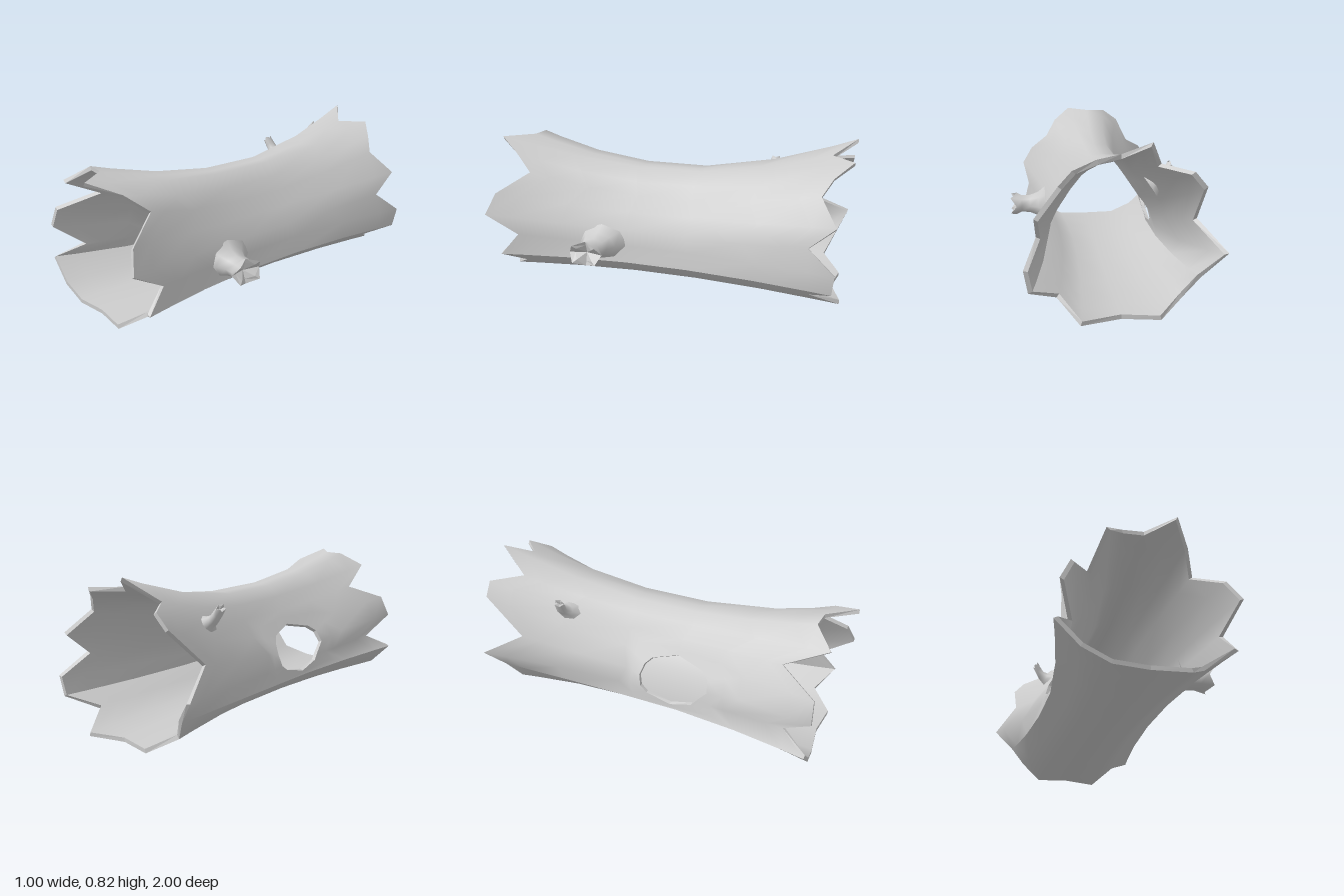
import * as THREE from 'three';
import { mergeVertices } from 'three/addons/utils/BufferGeometryUtils.js';

// Corners of the trunk section, clockwise from the top left: waist [x, y] and broken ends [x, y, z]
const waist = [
  [-0.07, 0.63], [0, 0.63], [0.06, 0.63], [0.12, 0.56], [0.17, 0.49], [0.22, 0.41], [0.28, 0.32],
  [0.295, 0.24], [0.315, 0.15], [0.22, 0.09], [0.13, 0.025], [0, 0.025], [-0.16, 0.025], [-0.25, 0.085],
  [-0.335, 0.15], [-0.325, 0.23], [-0.30, 0.32], [-0.23, 0.41], [-0.17, 0.50], [-0.12, 0.57]];
const frontEnd = [
  [-0.13, 0.755, 0.84], [-0.02, 0.755, 0.85], [0.10, 0.755, 1], [0.20, 0.69, 0.86], [0.26, 0.60, 0.75],
  [0.36, 0.49, 0.92], [0.42, 0.38, 0.96], [0.385, 0.27, 0.78], [0.41, 0.15, 0.88], [0.27, 0.07, 0.80],
  [0.17, 0, 0.91], [-0.02, 0, 0.89], [-0.20, 0, 0.91], [-0.34, 0.06, 0.92], [-0.46, 0.18, 0.92],
  [-0.37, 0.26, 0.78], [-0.44, 0.38, 0.93], [-0.39, 0.49, 0.92], [-0.27, 0.57, 0.72], [-0.23, 0.68, 0.94]];
const backEnd = [
  [-0.14, 0.825, 1], [-0.02, 0.755, 0.88], [0.10, 0.755, 1], [0.20, 0.69, 0.91], [0.26, 0.61, 0.86],
  [0.37, 0.49, 0.95], [0.36, 0.37, 0.82], [0.42, 0.26, 0.96], [0.40, 0.15, 0.95], [0.27, 0.08, 0.83],
  [0.17, 0, 0.98], [-0.02, 0, 0.92], [-0.20, 0, 0.95], [-0.32, 0.07, 0.85], [-0.39, 0.18, 0.90],
  [-0.50, 0.31, 0.96], [-0.40, 0.42, 0.75], [-0.39, 0.62, 0.97], [-0.33, 0.69, 0.98], [-0.21, 0.70, 0.83]];
const N = waist.length;
const WALL = 0.022;
const ROWS = [-1, -0.87, -0.57, -0.19, 0.19, 0.57, 0.87, 1];
const CREASES = [8, 14]; // sharp edges where the floor meets the sides

const material = new THREE.MeshStandardMaterial({ color: 0xcccccc });
const flare = (z) => Math.pow(Math.max(0, z - 0.18) / 0.82, 1.5);

// One corner line of the trunk, s from -1 (back) to 1 (front), moved inward by depth
function corner(k, s, depth) {
  const i = ((k % N) + N) % N;
  const end = (s < 0 ? backEnd : frontEnd)[i];
  const z = s * end[2];
  const f = flare(Math.abs(z)) / flare(end[2]);
  const a = waist[(i + N - 1) % N], b = waist[(i + 1) % N];
  const length = Math.hypot(b[0] - a[0], b[1] - a[1]);
  return new THREE.Vector3(
    THREE.MathUtils.lerp(waist[i][0], end[0], f) + depth * (b[1] - a[1]) / length,
    THREE.MathUtils.lerp(waist[i][1], end[1], f) - depth * (b[0] - a[0]) / length,
    z);
}

function wallPoint(u, s, depth) {
  const k = Math.floor(u);
  return corner(k, s, depth).lerp(corner(k + 1, s, depth), u - k);
}

// Mesh from quads with counter-clockwise corners
function quadMesh(name, quads, smooth) {
  const positions = [];
  for (const [a, b, c, d] of quads) for (const p of [a, b, c, a, c, d]) positions.push(p.x, p.y, p.z);
  let geometry = new THREE.BufferGeometry();
  geometry.setAttribute('position', new THREE.Float32BufferAttribute(positions, 3));
  if (smooth) geometry = mergeVertices(geometry, 1e-4);
  geometry.computeVertexNormals();
  const mesh = new THREE.Mesh(geometry, material);
  mesh.name = name;
  return mesh;
}

// Knothole: border along the wall grid and matching points round the opening, as [u, s]
const border = [
  [14, -0.19], [15, -0.19], [16, -0.19], [17, -0.19], [18, -0.19], [18, 0.19],
  [18, 0.57], [17, 0.57], [16, 0.57], [15, 0.57], [14, 0.57], [14, 0.19]];
const opening = border.map(([u, s]) => {
  const angle = Math.atan2((u - 16) / 2, (s - 0.19) / 0.38);
  return [15.75 + 1.45 * Math.sin(angle), 0.155 + 0.23 * Math.cos(angle)];
});
const between = border.map(([u, s], i) => [(u + opening[i][0]) / 2, (s + opening[i][1]) / 2]);

function skin(name, from, to, depth) {
  const quads = [];
  const add = (...corners) => {
    const quad = corners.map(([u, s]) => wallPoint(u, s, depth));
    quads.push(depth ? quad.reverse() : quad);
  };
  for (let u = from; u < to; u++) {
    for (let r = 0; r < ROWS.length - 1; r++) {
      if (u >= 14 && u < 18 && (r === 3 || r === 4)) continue; // left open for the knothole
      add([u, ROWS[r]], [u, ROWS[r + 1]], [u + 1, ROWS[r + 1]], [u + 1, ROWS[r]]);
    }
  }
  if (from === CREASES[1]) {
    for (const [outer, inner] of [[border, between], [between, opening]]) {
      outer.forEach((p, i) => {
        const j = (i + 1) % outer.length;
        add(outer[j], p, inner[i], inner[j]);
      });
    }
  }
  return quadMesh(name, quads, true);
}

// Flat edge of the wall along a line of [u, s] points
function rim(name, line) {
  const quads = [];
  for (let i = 0; i < line.length - 1; i++) {
    const [u0, s0] = line[i], [u1, s1] = line[i + 1];
    quads.push([wallPoint(u1, s1, 0), wallPoint(u0, s0, 0), wallPoint(u0, s0, WALL), wallPoint(u1, s1, WALL)]);
  }
  return quadMesh(name, quads, false);
}

// Snapped branch from rings [height, radius, xShift, zShift, jag]; the last rings form its hollow tip
function branch(name, rings, stretch) {
  const sides = 8, quads = [];
  const point = (i, [h, r, x, z, jag]) => {
    const a = (i % sides) / sides * Math.PI * 2;
    return new THREE.Vector3(r * Math.cos(a) + x, h + (i % 2 ? jag : -jag), r * stretch * Math.sin(a) + z);
  };
  for (let r = 0; r < rings.length - 1; r++) {
    for (let i = 0; i < sides; i++) {
      quads.push([point(i, rings[r]), point(i, rings[r + 1]), point(i + 1, rings[r + 1]), point(i + 1, rings[r])]);
    }
  }
  const group = new THREE.Group();
  group.name = name;
  const split = sides * (rings.length - 3);
  group.add(quadMesh(name + 'Bark', quads.slice(0, split), true));
  group.add(quadMesh(name + 'BrokenTip', quads.slice(split), false));
  return group;
}

export function createModel() {
  const model = new THREE.Group();
  model.name = 'hollowLog';

  // Trunk walls, outside and inside
  const [right, left] = CREASES;
  for (const [side, depth] of [['outer', 0], ['inner', WALL]]) {
    model.add(skin(side + 'Floor', right, left, depth));
    model.add(skin(side + 'Arch', left, right + N, depth));
  }

  // Jagged ends and knothole edge
  const around = Array.from({ length: N + 1 }, (_, i) => i);
  model.add(rim('frontJaggedEdge', around.map((u) => [u, 1])));
  model.add(rim('backJaggedEdge', around.map((u) => [N - u, -1])));
  model.add(rim('knotholeEdge', [...opening, opening[0]]));

  // Branch stump on the side
  const stump = branch('branchStump', [
    [-0.01, 0.11, 0, -0.01, 0], [0.03, 0.075, 0, 0, 0], [0.08, 0.055, 0, 0.005, 0], [0.13, 0.052, 0, 0.01, 0],
    [0.18, 0.068, 0, 0.015, 0.018], [0.17, 0.045, 0, 0.015, 0.015], [0.14, 0.001, 0, 0.015, 0]], 1.35);
  stump.position.set(0.3, 0.24, 0.32);
  stump.rotation.z = -Math.PI / 2;
  model.add(stump);

  // Small curved twig on the upper side
  const twig = branch('twig', [
    [-0.02, 0.065, 0, 0, 0], [0.02, 0.035, 0, 0, 0], [0.06, 0.025, 0, 0, 0], [0.09, 0.023, 0.012, 0.005, 0],
    [0.125, 0.02, 0.03, 0.01, 0.008], [0.12, 0.012, 0.03, 0.01, 0.005], [0.105, 0.001, 0.025, 0.01, 0]], 1.4);
  twig.position.set(-0.225, 0.545, -0.55);
  twig.rotation.z = 0.98;
  model.add(twig);

  return model;
}
